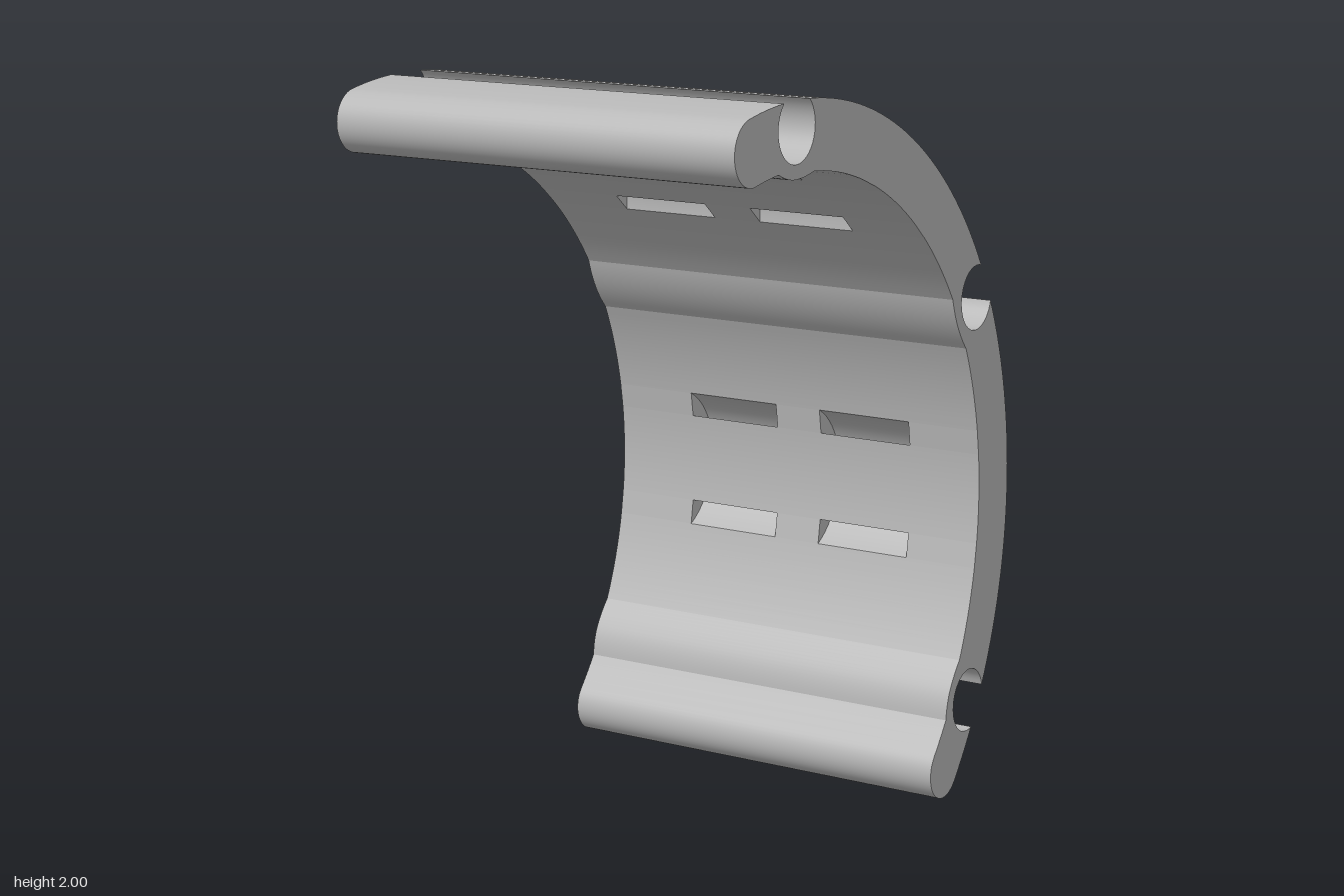
import * as THREE from 'three';
import { toCreasedNormals } from 'three/addons/utils/BufferGeometryUtils.js';

const CZ = 0.453, CY = 0.807;            // centre of the curved shell (z, y)
const OUTER = 1.193, INNER = 1.018;      // shell radii
const PIN_R = 0.088, PIN_D = 1.128;      // rod groove radius and its distance from the centre
const END_IN = 1.029, END_A = 10.7;      // end lips: inner radius, degrees beyond the last groove
const GROOVES = [-30, 30, 90];           // groove angles, degrees above the back direction
const SLOTS = [0, 60];                   // tunnel angles
const SLOT_OUT = 10.93, SLOT_IN = 7.05;  // angular limits of the slot mouths
const RING = 0.905;                      // distance of the tunnel arc centre
const HALF = 0.575;

const rad = THREE.MathUtils.degToRad;

// point at tangential offset t and radial distance n about angle a
function local(a, t, n) {
  const c = Math.cos(rad(a)), s = Math.sin(rad(a));
  return new THREE.Vector2(CZ - n * c + t * s, CY + n * s + t * c);
}

// arc about the shell centre
function arc(r, a0, a1, step = 1.5) {
  const n = Math.max(1, Math.ceil(Math.abs(a1 - a0) / step));
  return Array.from({ length: n + 1 }, (_, i) => local(a0 + (a1 - a0) * i / n, 0, r));
}

// arc about a local centre at radial distance d on angle a
function localArc(a, d, r, p0, p1, n) {
  return Array.from({ length: n + 1 }, (_, i) => {
    const p = p0 + (p1 - p0) * i / n;
    return local(a, r * Math.cos(p), d + r * Math.sin(p));
  });
}

// arc of a curved tunnel wall whose mouth lies at +-half degrees on the inner face
function tunnelArc(a, half) {
  const t = INNER * Math.sin(rad(half)), n = INNER * Math.cos(rad(half)) - RING;
  const p = Math.atan2(n, t);
  return localArc(a, RING, Math.hypot(t, n), p, Math.PI - p, 20);
}

function shellProfile() {
  const pts = [];
  const lo = GROOVES[0] - END_A, hi = GROOVES[2] + END_A;
  const gap = 3.08, bump = 4.73;
  const capR = (OUTER - END_IN) / 2, capD = (OUTER + END_IN) / 2;

  // outer face with open rod grooves
  let a = lo;
  const open = Math.asin((OUTER * Math.cos(rad(gap)) - PIN_D) / PIN_R);
  for (const g of GROOVES) {
    pts.push(...arc(OUTER, a, g - gap));
    pts.push(...localArc(g, PIN_D, PIN_R, Math.PI - open, 2 * Math.PI + open, 32));
    a = g + gap;
  }
  pts.push(...arc(OUTER, a, hi));

  // rounded upper lip
  pts.push(...localArc(hi, capD, capR, Math.PI / 2, -Math.PI / 2, 24));

  // inner face with swellings behind the grooves and recesses for the tunnels
  a = hi;
  for (const g of [...GROOVES].reverse()) {
    const rTop = g === GROOVES[2] ? END_IN : INNER;
    const rBot = g === GROOVES[0] ? END_IN : INNER;
    const slot = SLOTS.find(s => s > g && s < a);
    if (slot !== undefined) {
      pts.push(...arc(INNER, a, slot + SLOT_OUT));
      pts.push(...tunnelArc(slot, SLOT_OUT));
      pts.push(...arc(INNER, slot - SLOT_OUT, g + bump));
    } else pts.push(...arc(rTop, a, g + bump));
    for (let i = 1; i < 16; i++) {
      const u = 1 - i / 8;
      pts.push(local(g + u * bump, 0, 1.004 + ((u > 0 ? rTop : rBot) - 1.004) * u * u));
    }
    a = g - bump;
  }
  pts.push(...arc(END_IN, a, lo));

  // rounded lower lip
  pts.push(...localArc(lo, capD, capR, -Math.PI / 2, -Math.PI * 1.5, 24));
  return pts;
}

// extrude a side profile between two x positions
function slab(name, points, x0, x1, material) {
  const clean = points.filter((p, i) => p.distanceTo(points[(i + 1) % points.length]) > 1e-4);
  const geo = new THREE.ExtrudeGeometry(new THREE.Shape(clean), {
    depth: x1 - x0, bevelEnabled: false, steps: 1,
  });
  geo.rotateY(-Math.PI / 2);
  geo.translate(x1, 0, 0);
  const mesh = new THREE.Mesh(toCreasedNormals(geo, 0.25), material);
  mesh.name = name;
  return mesh;
}

export function createModel() {
  const group = new THREE.Group();
  group.name = 'curvedClampShell';
  const grey = new THREE.MeshStandardMaterial({ color: 0xb8b8b8 });
  grey.name = 'plain grey';

  group.add(slab('shell', shellProfile(), -HALF, HALF, grey));

  for (const s of SLOTS) {
    // bridge between the two mouths of each tunnel
    const bridge = [...tunnelArc(s, SLOT_IN), ...arc(INNER, s - SLOT_IN, s + SLOT_IN)];
    group.add(slab('strapBridge', bridge, -HALF, HALF, grey));

    // solid web beside and between the strap tunnels
    const web = [...tunnelArc(s, SLOT_OUT), ...tunnelArc(s, SLOT_IN).reverse()];
    for (const [x0, x1] of [[-HALF, -0.335], [-0.055, 0.085], [0.365, HALF]]) {
      group.add(slab('tunnelWeb', web, x0, x1, grey));
    }
  }
  return group;
}
